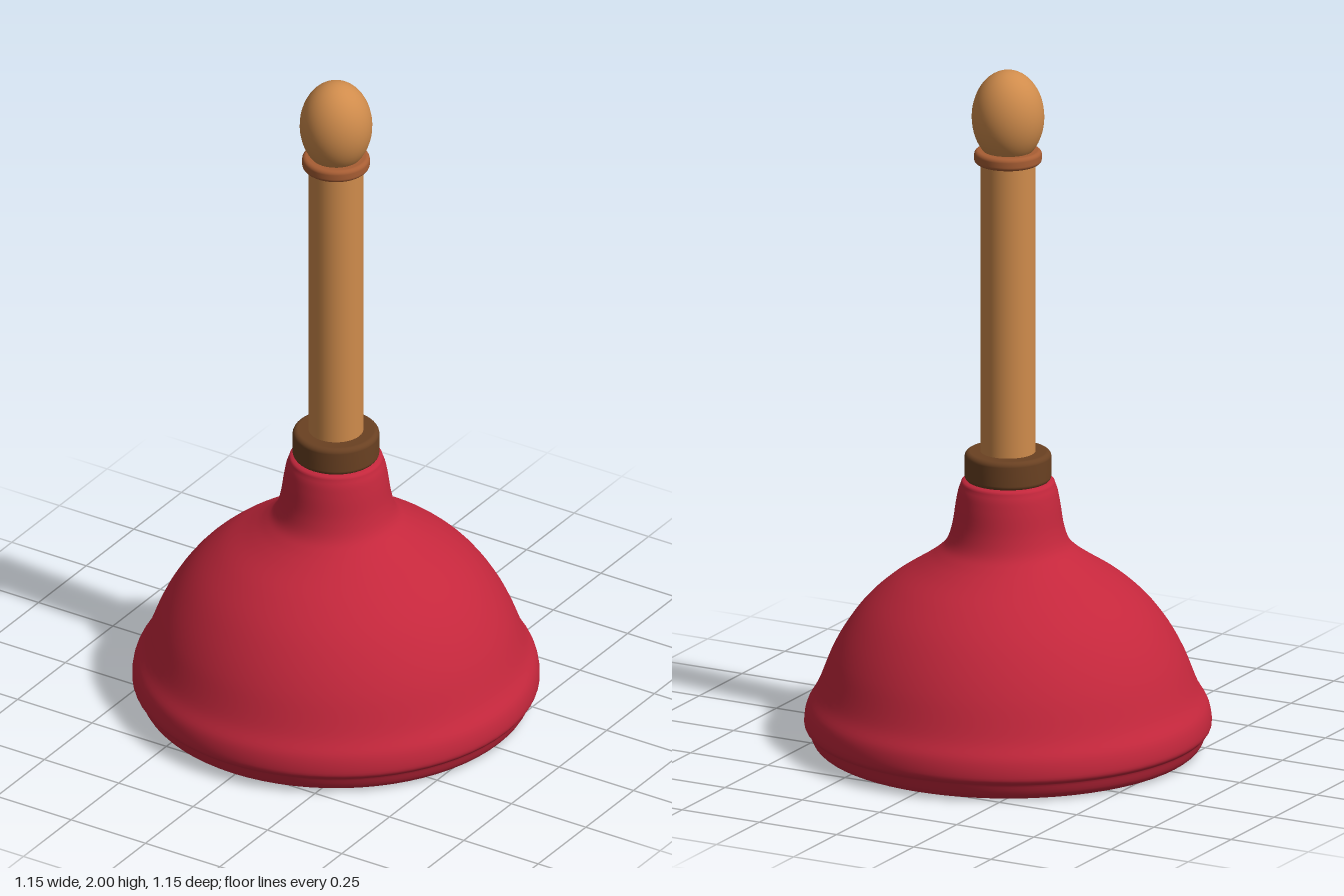
import * as THREE from 'three';

const material = (name, color, side = THREE.FrontSide) => {
  const m = new THREE.MeshStandardMaterial({ color, side });
  m.name = name;
  return m;
};

const spline = (points, n) =>
  new THREE.SplineCurve(points.map(([x, y]) => new THREE.Vector2(x, y))).getPoints(n);

// Solid ring or disc with rounded edges, built around the y axis
function roundedDisc(radius, bottom, top, bevel) {
  const pts = [new THREE.Vector2(0, bottom)];
  for (let i = 0; i <= 6; i++) {
    const a = (i / 6) * Math.PI / 2;
    pts.push(new THREE.Vector2(radius - bevel + bevel * Math.sin(a), bottom + bevel - bevel * Math.cos(a)));
  }
  for (let i = 0; i <= 6; i++) {
    const a = (i / 6) * Math.PI / 2;
    pts.push(new THREE.Vector2(radius - bevel + bevel * Math.cos(a), top - bevel + bevel * Math.sin(a)));
  }
  pts.push(new THREE.Vector2(0, top));
  return new THREE.LatheGeometry(pts, 48);
}

export function createModel() {
  const rubber = material('red rubber', 0xc4273c);
  const wood = material('light wood', 0xd08c4c);
  const collarBrown = material('dark brown', 0x6a4122);
  const bandBrown = material('reddish brown', 0xa85e34);

  const group = new THREE.Group();
  group.name = 'plunger';
  const add = (name, geometry, mat, y = 0) => {
    const mesh = new THREE.Mesh(geometry, mat);
    mesh.name = name;
    mesh.position.y = y;
    group.add(mesh);
    return mesh;
  };

  // Hollow rubber cup: inside dome down to the rim, then up the outside to the neck
  const inside = spline([[0, 0.5], [0.12, 0.49], [0.25, 0.43], [0.36, 0.32],
    [0.43, 0.18], [0.455, 0.07], [0.465, 0.03], [0.49, 0.006]], 40);
  const underside = spline([[0.49, 0.006], [0.525, 0.006], [0.55, 0.022], [0.564, 0.055]], 12);
  const outside = spline([[0.564, 0.055], [0.577, 0.075], [0.57, 0.125], [0.54, 0.18],
    [0.5, 0.28], [0.455, 0.36], [0.4, 0.43], [0.33, 0.492], [0.25, 0.545], [0.205, 0.578],
    [0.175, 0.61], [0.158, 0.66], [0.147, 0.73], [0.136, 0.775], [0.115, 0.795], [0, 0.8]], 80);
  add('rubberCup', new THREE.LatheGeometry([...inside, ...underside.slice(1), ...outside.slice(1)], 72), rubber);

  // Collar joining the cup and the handle
  add('collar', roundedDisc(0.123, 0.79, 0.876, 0.015), collarBrown);

  // Handle shaft
  add('handle', new THREE.CylinderGeometry(0.078, 0.078, 0.94, 40), wood, 1.29);

  // Band below the knob
  add('handleBand', roundedDisc(0.096, 1.728, 1.766, 0.012), bandBrown);

  // Egg-shaped knob
  const knob = add('knob', new THREE.SphereGeometry(0.103, 40, 28), wood, 1.864);
  knob.scale.y = 0.136 / 0.103;

  return group;
}
